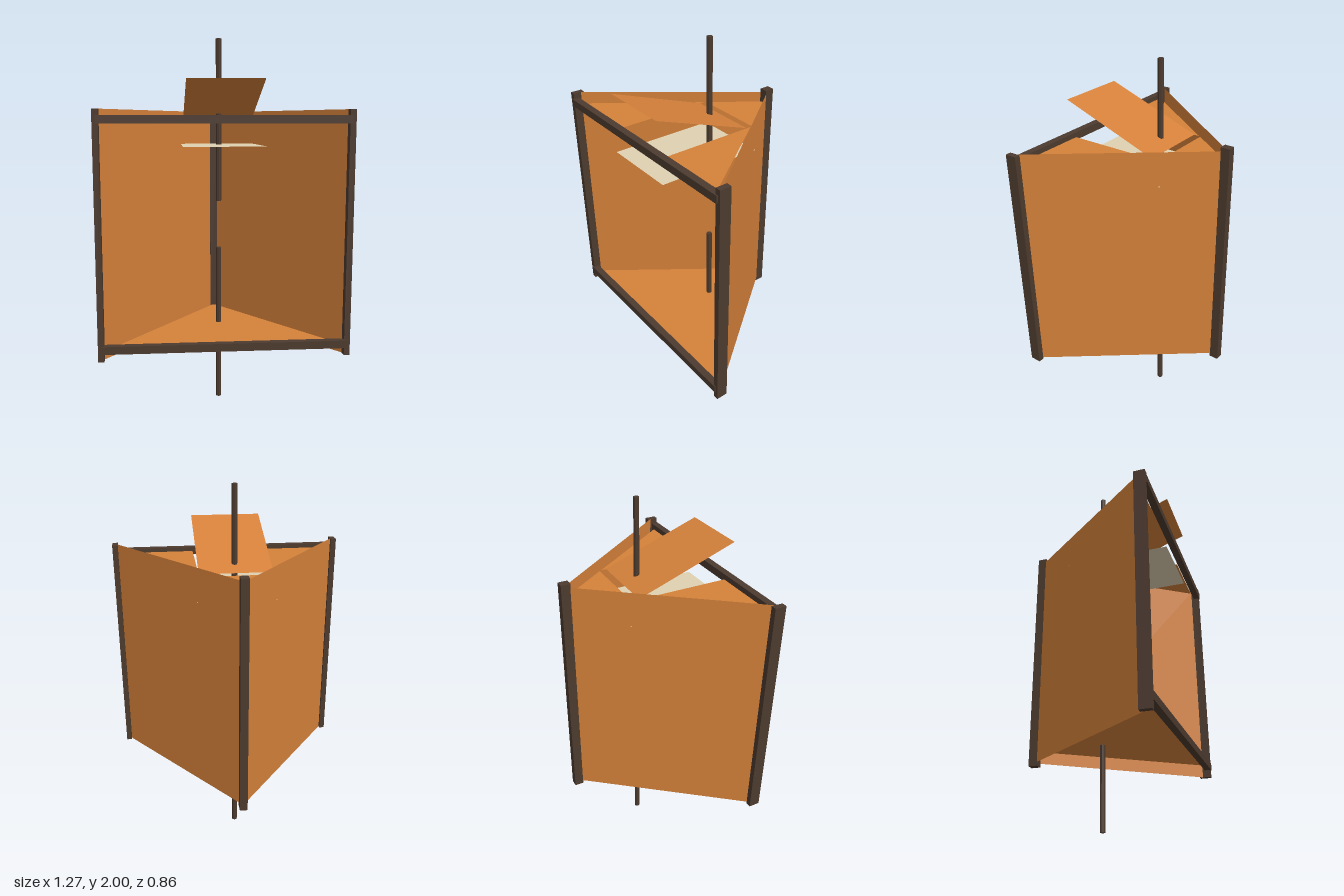
import * as THREE from 'three';

const mat = (color, side = THREE.FrontSide) =>
  new THREE.MeshStandardMaterial({ color, side, flatShading: true });

export function createModel() {
  const model = new THREE.Group();
  model.name = 'triangularShelter';
  const frame = mat(0x4d3b2f);
  const wood = mat(0xd5813a, THREE.DoubleSide);
  const cream = mat(0xe0d2b2, THREE.DoubleSide);

  const add = (name, geometry, material, x = 0, y = 0, z = 0) => {
    const mesh = new THREE.Mesh(geometry, material);
    mesh.name = name;
    mesh.position.set(x, y, z);
    model.add(mesh);
    return mesh;
  };
  const beam = (name, w, h, d, x, y, z) =>
    add(name, new THREE.BoxGeometry(w, h, d), frame, x, y, z);

  // Flat horizontal sheet from [x, z] outline points
  const sheet = (name, y, points, material = wood) => {
    const shape = new THREE.Shape(points.map(([x, z]) => new THREE.Vector2(x, -z)));
    const geometry = new THREE.ShapeGeometry(shape).rotateX(-Math.PI / 2);
    return add(name, geometry, material, 0, y, 0);
  };

  // Posts
  beam('rearPost', 0.042, 1.28, 0.05, 0, 1, -0.405);
  for (const s of [-1, 1]) {
    beam(s > 0 ? 'leftFrontPost' : 'rightFrontPost', 0.03, 1.24, 0.06, s * 0.62, 1, 0.39);

    // Side wall running from the rear post to a front post
    const from = new THREE.Vector2(0.015, -0.39), to = new THREE.Vector2(0.615, 0.39);
    const wall = add(s > 0 ? 'leftWall' : 'rightWall',
      new THREE.PlaneGeometry(from.distanceTo(to), 1.24), wood,
      s * (from.x + to.x) / 2, 1, (from.y + to.y) / 2);
    wall.rotation.y = -s * Math.atan2(to.y - from.y, to.x - from.x);

    // Roof piece beside the hatch opening
    sheet(s > 0 ? 'leftRoof' : 'rightRoof', 1.57,
      [[s * 0.19, -0.13], [s * 0.565, 0.38], [s * 0.19, 0.38]]);
  }

  // Front rails
  beam('topRail', 1.24, 0.04, 0.037, 0, 1.57, 0.408);
  beam('bottomRail', 1.24, 0.04, 0.037, 0, 0.44, 0.408);

  // Floor and rear roof piece
  sheet('floor', 0.44, [[0, -0.39], [0.565, 0.38], [-0.565, 0.38]]);
  sheet('rearRoof', 1.57, [[0, -0.39], [0.185, -0.14], [-0.185, -0.14]]);

  // Shelf under the hatch opening
  sheet('innerShelf', 1.44,
    [[-0.205, -0.155], [0.205, -0.155], [0.205, 0.413], [-0.205, 0.413]], cream);

  // Hatch, raised towards the front
  const rise = 0.19, run = 0.527;
  const hatch = add('hatch', new THREE.PlaneGeometry(0.38, Math.hypot(rise, run)), wood,
    0, 1.572 + rise / 2, -0.102 + run / 2);
  hatch.rotation.x = -Math.PI / 2 - Math.atan2(rise, run);

  // Pole in two pieces with a gap at mid height
  for (const [name, low, high] of [['lowerPole', 0, 0.87], ['upperPole', 1.13, 2]]) {
    add(name, new THREE.CylinderGeometry(0.015, 0.015, high - low, 8), frame,
      0, (low + high) / 2, -0.02);
  }
  return model;
}
